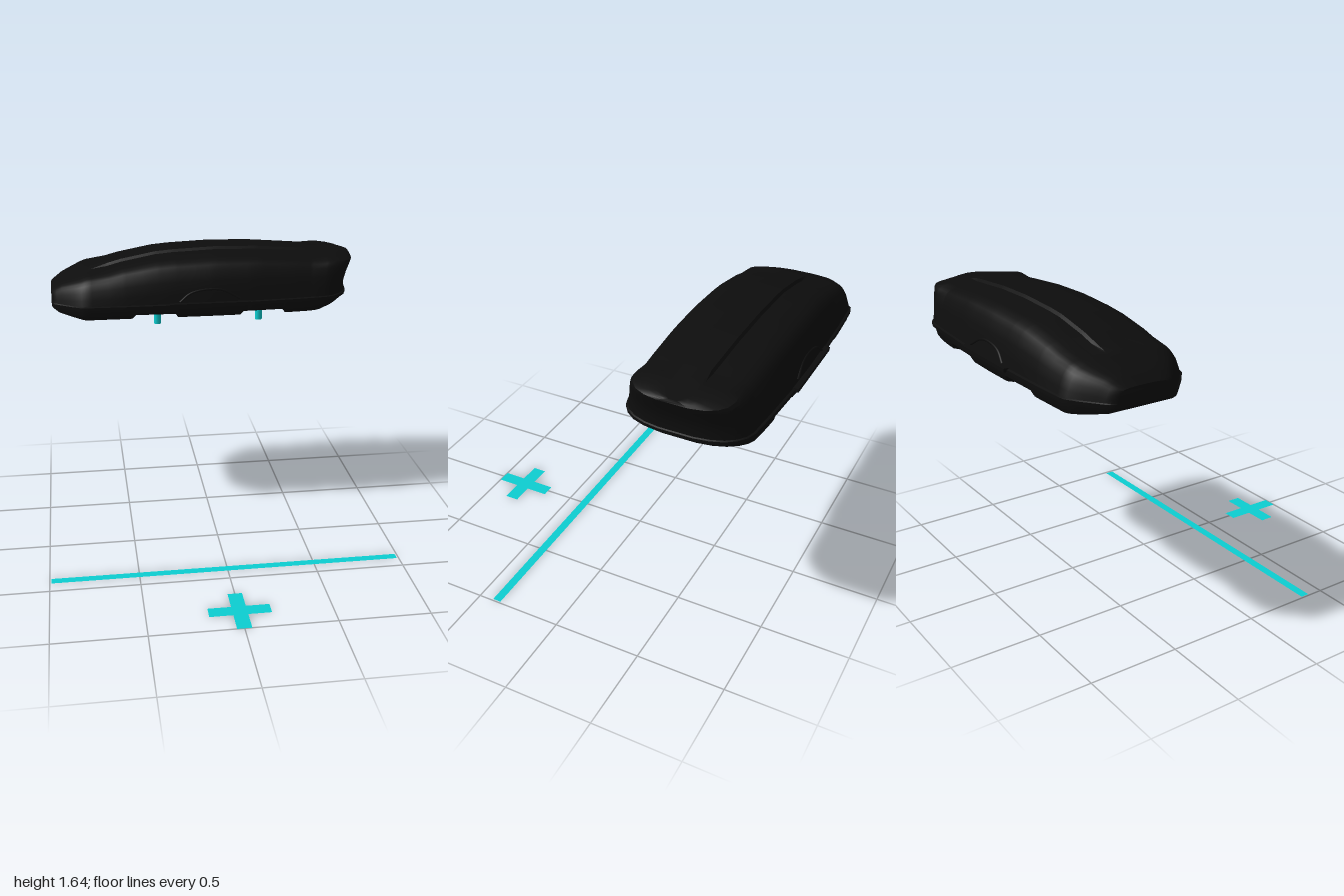
import * as THREE from 'three';
import { toCreasedNormals } from 'three/addons/utils/BufferGeometryUtils.js';

const CENTER_Z = -0.62;
const { lerp, smoothstep } = THREE.MathUtils;

// Piecewise linear lookup in a list of [key, value] pairs.
function sample(table, k) {
  if (k <= table[0][0]) return table[0][1];
  for (let i = 1; i < table.length; i++) {
    const [k0, v0] = table[i - 1], [k1, v1] = table[i];
    if (k <= k1) return lerp(v0, v1, (k - k0) / (k1 - k0));
  }
  return table[table.length - 1][1];
}

// Profiles along the length of the box.
const halfWidth = [[-0.913, 0.16], [-0.9, 0.19], [-0.88, 0.21], [-0.8, 0.285], [-0.74, 0.333], [-0.7, 0.343],
  [-0.5, 0.354], [-0.24, 0.362], [0, 0.366], [0.24, 0.362], [0.5, 0.349], [0.7, 0.335], [0.76, 0.318],
  [0.81, 0.285], [0.85, 0.235], [0.875, 0.17], [0.888, 0.09]];
const topY = [[-0.913, 1.425], [-0.85, 1.468], [-0.7, 1.527], [-0.5, 1.583], [-0.3, 1.621], [-0.2, 1.63],
  [0.05, 1.64], [0.3, 1.635], [0.6, 1.612], [0.888, 1.58]];
const bottomY = [[-0.913, 1.333], [-0.87, 1.302], [-0.72, 1.277], [-0.455, 1.28], [-0.435, 1.304], [-0.205, 1.304],
  [-0.185, 1.28], [0.175, 1.28], [0.195, 1.304], [0.43, 1.304], [0.45, 1.28], [0.888, 1.28]];
const rimY = [[-0.913, 1.348], [-0.7, 1.36], [0.85, 1.37]];
// Slant of the tail end by height.
const tailShift = [[1.28, -0.17], [1.31, -0.1], [1.355, -0.05], [1.362, -0.037], [1.378, -0.037], [1.385, -0.05],
  [1.42, -0.05], [1.49, -0.03], [1.56, 0], [1.58, -0.005]];

// Half cross-section from bottom centre to top centre, as [width offset, height].
function halfSection(x) {
  const w = sample(halfWidth, x), top = sample(topY, x), bot = sample(bottomY, x), rim = sample(rimY, x);
  const ridge = 0.015 * smoothstep(x, -0.72, -0.6) * (1 - smoothstep(x, 0.62, 0.74));
  const crown = top - ridge;
  const tail = smoothstep(x, 0.6, 0.888);
  const low = (f, t) => [f * w, lerp(bot, rim - 0.008, t)];
  const lid = (f, t) => [lerp(f, 1, t < 0.95 ? tail * 0.6 : 0) * w, lerp(rim + 0.012, crown, t)];
  return [
    [0, bot], low(0.82, 0), low(0.92, 0.15), low(0.96, 0.45), low(0.965, 1),
    [w, rim - 0.008], [w, rim + 0.008],
    lid(0.965, 0), lid(0.935, 0.22), lid(0.89, 0.5), lid(0.83, 0.72), lid(0.78, 0.83), lid(0.71, 0.9),
    lid(0.6, 0.95), lid(0.42, 0.98), lid(0.24, 1), [0.21 * w, top], [0, top],
  ];
}

// Closed shell lofted through all stations.
function shellGeometry() {
  const xs = new Set();
  for (const table of [halfWidth, topY, bottomY]) table.forEach(([x]) => xs.add(x));
  for (let i = -8; i <= 8; i++) xs.add(i / 10 + 0.02);
  const stations = [...xs].sort((a, b) => a - b);
  const pos = [], index = [];
  let n = 0;
  for (const x of stations) {
    const half = halfSection(x);
    const mirrored = half.slice(1, -1).reverse().map(([z, y]) => [-z, y]);
    const loop = [...half, ...mirrored];
    n = loop.length;
    const k = smoothstep(x, 0.5, 0.888);
    for (const [z, y] of loop) pos.push(x + k * sample(tailShift, y), y, CENTER_Z + z);
  }
  const last = (stations.length - 1) * n;
  for (let s = 0; s < last; s += n) {
    for (let j = 0; j < n; j++) {
      const j2 = (j + 1) % n;
      index.push(s + j, s + n + j, s + n + j2, s + j, s + n + j2, s + j2);
    }
  }
  // End caps, made of strips between mirrored points
  const h = n / 2;
  for (let j = 0; j < h; j++) {
    const a = j, b = j + 1, c = (n - j - 1) % n, d = (n - j) % n;
    index.push(a, b, c, a, c, d);
    index.push(last + a, last + c, last + b, last + a, last + d, last + c);
  }
  const geo = new THREE.BufferGeometry();
  geo.setAttribute('position', new THREE.Float32BufferAttribute(pos, 3));
  geo.setIndex(index);
  return toCreasedNormals(geo, 0.6);
}

function crossShape(r, w) {
  const s = new THREE.Shape();
  [[-w, -r], [w, -r], [w, -w], [r, -w], [r, w], [w, w], [w, r], [-w, r], [-w, w], [-r, w], [-r, -w], [-w, -w]]
    .forEach(([x, y], i) => (i ? s.lineTo(x, y) : s.moveTo(x, y)));
  return s;
}

export function createModel() {
  const black = new THREE.MeshStandardMaterial({ color: 0x0d0d0d });
  black.name = 'black';
  const cyan = new THREE.MeshStandardMaterial({ color: 0x0ccfd2, side: THREE.DoubleSide });
  cyan.name = 'cyan';
  const group = new THREE.Group();
  group.name = 'roofBox';
  const add = (name, geo, mat, x = 0, y = 0, z = 0) => {
    const mesh = new THREE.Mesh(geo, mat);
    mesh.name = name;
    mesh.position.set(x, y, z);
    group.add(mesh);
    return mesh;
  };

  add('shell', shellGeometry(), black);

  // Side latches with an arched grip, on both long sides
  for (const side of [1, -1]) {
    add('latch', new THREE.BoxGeometry(0.47, 0.02, 0.03), black, -0.005, 1.37, CENTER_Z + side * 0.364);
    const arch = new THREE.CatmullRomCurve3([[-0.18, 1.385, 0.354], [-0.12, 1.43, 0.342], [-0.03, 1.45, 0.336],
      [0.07, 1.445, 0.338], [0.17, 1.395, 0.351]].map(([x, y, z]) => new THREE.Vector3(x, y, CENTER_Z + side * z)));
    add('grip', new THREE.TubeGeometry(arch, 20, 0.007, 6), black);
  }

  // Mounting pins under the recesses
  for (const x of [-0.302, 0.303]) {
    for (const z of [-0.4, -0.833]) {
      add('mountingPin', new THREE.CylinderGeometry(0.021, 0.021, 0.085, 12), cyan, x, 1.2675, z);
    }
  }

  // Flat ground markers
  add('groundBar', new THREE.PlaneGeometry(1.98, 0.048), cyan, 0, 0, 0.395).rotation.x = -Math.PI / 2;
  add('groundCross', new THREE.ShapeGeometry(crossShape(0.168, 0.04)), cyan, 0, 0, 0.832).rotation.x = -Math.PI / 2;

  return group;
}
